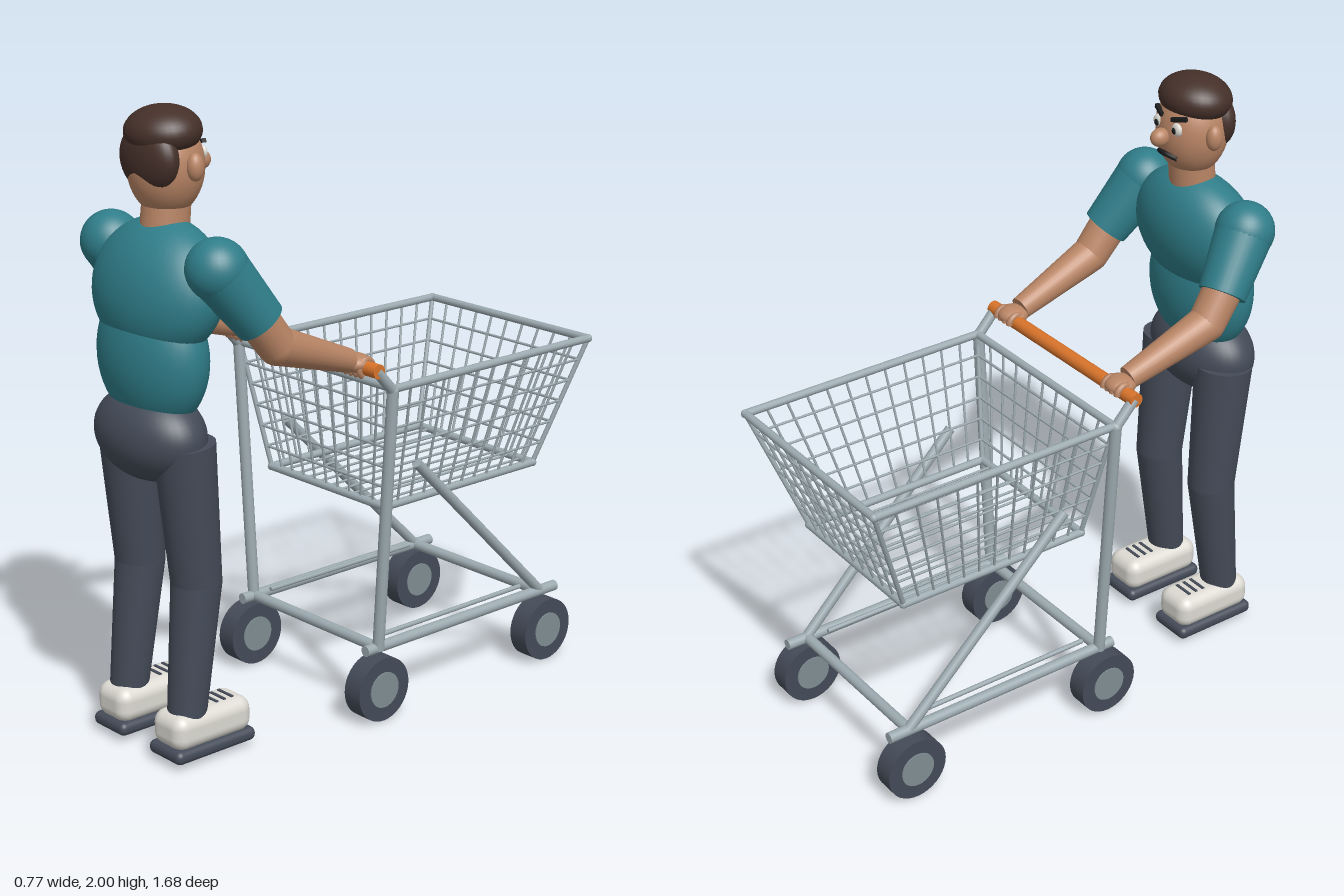
import * as THREE from 'three';
import { RoundedBoxGeometry } from 'three/addons/geometries/RoundedBoxGeometry.js';

const mat = (name, color) => {
  const m = new THREE.MeshStandardMaterial({ color });
  m.name = name;
  return m;
};
const V = (x, y, z) => new THREE.Vector3(x, y, z);

export function createModel() {
  const teal = mat('teal shirt', 0x2f7d89);
  const skin = mat('skin', 0xb98565);
  const hair = mat('brown hair', 0x453029);
  const navy = mat('slate trousers and rubber', 0x444b58);
  const white = mat('off white', 0xdcdad2);
  const metal = mat('steel', 0x9caab0);
  const hubGrey = mat('hub grey', 0x808d92);
  const orange = mat('orange grip', 0xd9742b);
  const black = mat('black', 0x1c1b1d);

  const root = new THREE.Group();
  root.name = 'personWithCart';
  const person = new THREE.Group();
  person.name = 'person';
  const cart = new THREE.Group();
  cart.name = 'cart';
  root.add(person, cart);

  const add = (parent, name, geo, material, p = [0, 0, 0]) => {
    const m = new THREE.Mesh(geo, material);
    m.name = name;
    m.position.set(...p);
    parent.add(m);
    return m;
  };
  // Ellipsoid with radii r at p
  const ball = (parent, name, material, p, r, seg = 32) => {
    const m = add(parent, name, new THREE.SphereGeometry(1, seg, Math.round(seg * 0.7)), material, p);
    m.scale.set(...r);
    return m;
  };
  // Tapered rod from a (radius ra) to b (radius rb)
  const rod = (parent, name, material, a, b, ra, rb = ra, seg = 12) => {
    const d = b.clone().sub(a);
    const m = add(parent, name, new THREE.CylinderGeometry(rb, ra, d.length(), seg), material);
    m.position.copy(a).addScaledVector(d, 0.5);
    m.quaternion.setFromUnitVectors(V(0, 1, 0), d.normalize());
    return m;
  };

  // Torso
  ball(person, 'chest', teal, [0, 1.46, 0.665], [0.255, 0.215, 0.15], 40).rotation.x = -0.25;
  ball(person, 'belly', teal, [0, 1.26, 0.69], [0.215, 0.23, 0.133], 40);
  ball(person, 'hips', navy, [0, 1.02, 0.705], [0.215, 0.145, 0.138], 40);

  // Head; the face looks towards -z
  rod(person, 'neck', skin, V(0, 1.6, 0.64), V(0, 1.74, 0.625), 0.075, 0.073, 28);
  ball(person, 'head', skin, [0, 1.82, 0.628], [0.117, 0.15, 0.115], 36);
  ball(person, 'hairTop', hair, [0, 1.924, 0.636], [0.124, 0.076, 0.112]).rotation.x = 0.1;
  ball(person, 'hairBack', hair, [0, 1.85, 0.687], [0.12, 0.107, 0.06]);
  ball(person, 'nose', skin, [0, 1.82, 0.498], [0.027, 0.03, 0.034], 20);
  const mouth = new THREE.CatmullRomCurve3([V(-0.045, 1.752, 0.535), V(0, 1.762, 0.517), V(0.045, 1.752, 0.535)]);
  add(person, 'mouth', new THREE.TubeGeometry(mouth, 12, 0.009, 8), black);

  for (const s of [-1, 1]) {
    ball(person, 'ear', skin, [s * 0.122, 1.83, 0.615], [0.025, 0.042, 0.027], 20);
    ball(person, 'eye', white, [s * 0.045, 1.853, 0.528], [0.022, 0.022, 0.012], 16);
    ball(person, 'pupil', black, [s * 0.043, 1.851, 0.518], [0.01, 0.011, 0.005], 12);
    const brow = add(person, 'eyebrow', new THREE.BoxGeometry(0.055, 0.013, 0.014), black, [s * 0.048, 1.887, 0.533]);
    brow.rotation.set(0, s * -0.35, s * 0.2);

    // Arm reaching for the grip
    const shoulder = V(s * 0.252, 1.555, 0.645), hem = V(s * 0.298, 1.387, 0.522);
    const elbow = V(s * 0.3, 1.305, 0.462), wrist = V(s * 0.284, 1.2, 0.165);
    ball(person, 'shoulder', teal, shoulder.toArray(), [0.095, 0.095, 0.095]);
    rod(person, 'sleeve', teal, shoulder, hem, 0.094, 0.077, 32);
    rod(person, 'upperArm', skin, hem.clone().lerp(shoulder, 0.2), elbow, 0.064, 0.06, 24);
    ball(person, 'elbow', skin, elbow.toArray(), [0.06, 0.06, 0.06], 24);
    rod(person, 'forearm', skin, elbow, wrist, 0.06, 0.038, 24);
    ball(person, 'hand', skin, [s * 0.284, 1.188, 0.135], [0.05, 0.03, 0.05], 24);
    for (let i = 0; i < 4; i++) {
      const finger = add(person, 'finger', new THREE.TorusGeometry(0.027, 0.011, 8, 14, Math.PI * 1.3), skin,
        [s * 0.284 + (i - 1.5) * 0.023, 1.175, 0.123]);
      finger.rotation.set(0, Math.PI / 2, 0);
    }

    // Leg
    const hip = V(s * 0.135, 1.012, 0.685), knee = V(s * 0.139, 0.57, 0.65), ankle = V(s * 0.145, 0.15, 0.7);
    rod(person, 'thigh', navy, knee, hip, 0.079, 0.096, 32);
    ball(person, 'knee', navy, knee.toArray(), [0.079, 0.079, 0.079]);
    rod(person, 'shin', navy, ankle, knee, 0.061, 0.079, 32);

    // Shoe
    add(person, 'shoeSole', new RoundedBoxGeometry(0.156, 0.044, 0.31, 4, 0.02), navy, [s * 0.141, 0.043, 0.637]);
    add(person, 'shoeUpper', new RoundedBoxGeometry(0.148, 0.115, 0.298, 5, 0.042), white, [s * 0.141, 0.112, 0.637]);
    for (let i = 0; i < 3; i++)
      add(person, 'lace', new THREE.BoxGeometry(0.07, 0.006, 0.01), navy, [s * 0.141, 0.17, 0.545 + i * 0.03]);
  }

  // Basket corners: index 0 back right, then round the rectangle
  const ring = (y, hx, zb, zf) => [V(-hx, y, zb), V(hx, y, zb), V(hx, y, zf), V(-hx, y, zf)];
  const rim = ring(1.105, 0.366, 0.05, -0.826);
  const base = ring(0.687, 0.272, -0.002, -0.675);
  const WIRE = 0.0045, ROWS = 6, COUNTS = [10, 12, 10, 12];
  for (let i = 0; i < 4; i++) {
    const j = (i + 1) % 4;
    rod(cart, 'basketRim', metal, rim[i], rim[j], 0.013);
    rod(cart, 'basketBase', metal, base[i], base[j], 0.013);
    rod(cart, 'basketCorner', metal, base[i], rim[i], 0.008);
    ball(cart, 'rimCorner', metal, rim[i].toArray(), [0.014, 0.014, 0.014], 12);
    ball(cart, 'baseCorner', metal, base[i].toArray(), [0.014, 0.014, 0.014], 12);
    for (let k = 1; k < COUNTS[i]; k++) {
      const t = k / COUNTS[i];
      rod(cart, 'uprightWire', metal, base[i].clone().lerp(base[j], t), rim[i].clone().lerp(rim[j], t), WIRE, WIRE, 6);
    }
    for (let k = 1; k < ROWS; k++) {
      const t = k / ROWS;
      rod(cart, 'levelWire', metal, base[i].clone().lerp(rim[i], t), base[j].clone().lerp(rim[j], t), WIRE, WIRE, 6);
    }
  }
  for (let k = 1; k < 10; k++) {
    const t = k / 10;
    rod(cart, 'floorWire', metal, base[0].clone().lerp(base[1], t), base[3].clone().lerp(base[2], t), WIRE, WIRE, 6);
  }

  // Frame, handle and wheels
  rod(cart, 'handleGrip', orange, V(-0.38, 1.176, 0.124), V(0.38, 1.176, 0.124), 0.023, 0.023, 24);
  for (const z of [0.052, -0.69]) rod(cart, 'crossBar', metal, V(-0.305, 0.236, z), V(0.305, 0.236, z), 0.018, 0.018, 16);
  for (const s of [-1, 1]) {
    const top = V(s * 0.367, 1.1, 0.055);
    rod(cart, 'post', metal, V(s * 0.306, 0.23, 0.052), top, 0.019, 0.019, 16);
    ball(cart, 'postBend', metal, top.toArray(), [0.019, 0.019, 0.019], 16);
    rod(cart, 'handleArm', metal, top, V(s * 0.367, 1.176, 0.124), 0.017, 0.017, 16);
    rod(cart, 'lowerRail', metal, V(s * 0.303, 0.236, 0.105), V(s * 0.303, 0.236, -0.765), 0.018, 0.018, 16);
    rod(cart, 'innerRail', metal, V(s * 0.268, 0.256, 0.01), V(s * 0.268, 0.256, -0.63), 0.008, 0.008, 8);
    rod(cart, 'brace', metal, V(s * 0.314, 0.822, -0.1), V(s * 0.303, 0.24, -0.69), 0.017, 0.017, 16);
    for (const z of [0.063, -0.69]) {
      rod(cart, 'tyre', navy, V(s * 0.277, 0.108, z), V(s * 0.347, 0.108, z), 0.106, 0.106, 36);
      rod(cart, 'hub', hubGrey, V(s * 0.273, 0.108, z), V(s * 0.351, 0.108, z), 0.059, 0.059, 28);
    }
  }
  return root;
}
